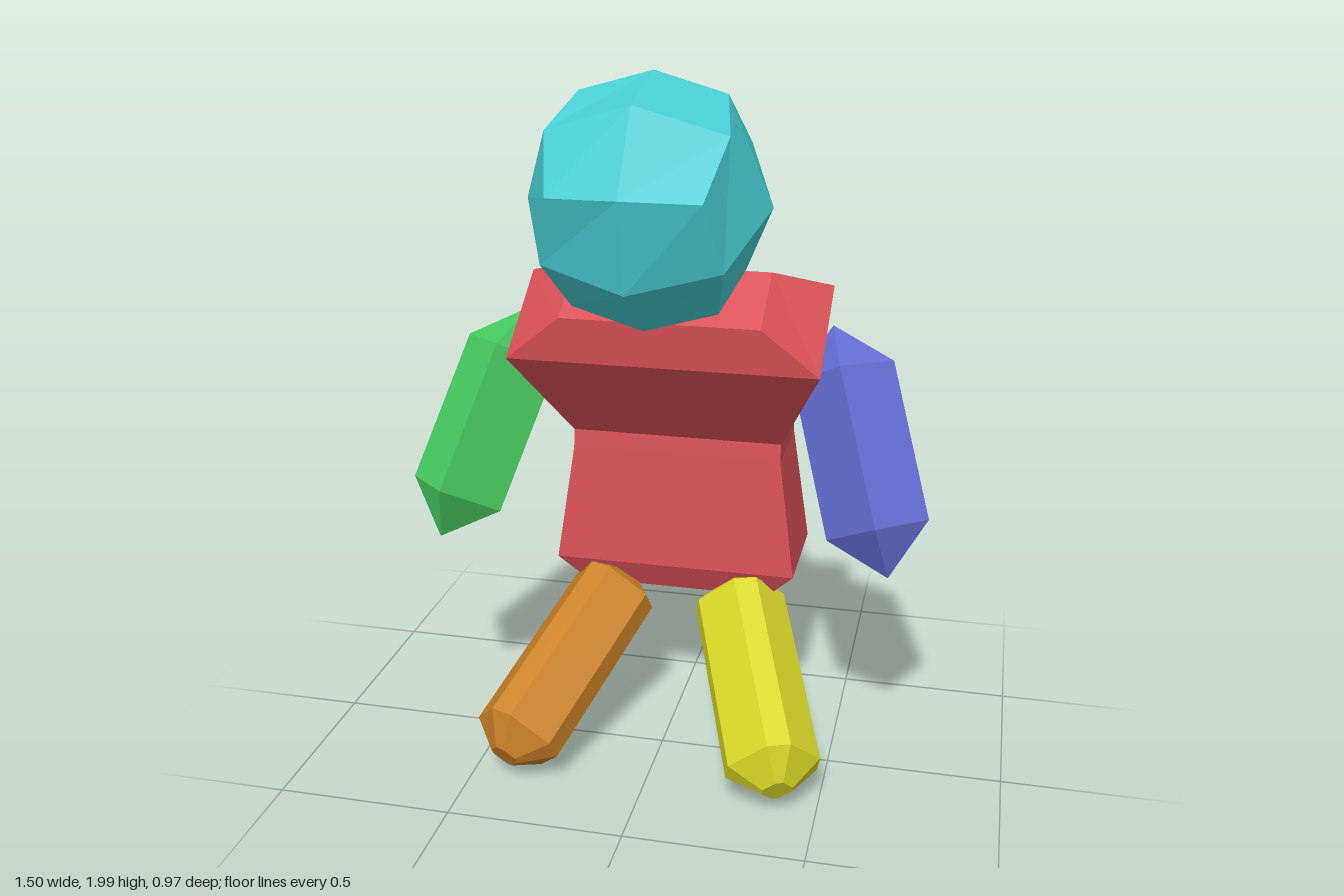
import * as THREE from 'three';

const V = (x, y, z) => new THREE.Vector3(x, y, z);

function part(name, geometry, color) {
  const material = new THREE.MeshStandardMaterial({ color, flatShading: true });
  const mesh = new THREE.Mesh(geometry, material);
  mesh.name = name;
  return mesh;
}

// Skin a list of rings (each counter-clockwise about the direction of travel) and close both ends
function loft(rings) {
  const pos = [];
  const tri = (a, b, c) => {
    const area = b.clone().sub(a).cross(c.clone().sub(a)).length();
    if (area > 1e-7) for (const p of [a, b, c]) pos.push(p.x, p.y, p.z);
  };
  const n = rings[0].length;
  for (let r = 0; r + 1 < rings.length; r++) {
    const a = rings[r], b = rings[r + 1];
    for (let i = 0; i < n; i++) {
      const j = (i + 1) % n;
      tri(a[i], a[j], b[j]);
      tri(a[i], b[j], b[i]);
    }
  }
  const first = rings[0], last = rings[rings.length - 1];
  for (let i = 1; i + 1 < n; i++) {
    tri(first[0], first[i + 1], first[i]);
    tri(last[0], last[i], last[i + 1]);
  }
  const g = new THREE.BufferGeometry();
  g.setAttribute('position', new THREE.Float32BufferAttribute(pos, 3));
  g.computeVertexNormals();
  return g;
}

// Straight limb from tip to tip; ref points at angle 0, profile holds [fraction of length, radius]
function limb(from, to, ref, angles, profile) {
  const d = to.clone().sub(from).normalize();
  const u = ref.clone().addScaledVector(d, -ref.dot(d)).normalize();
  const w = d.clone().cross(u);
  return loft(profile.map(([t, r]) => angles.map((a) =>
    from.clone().lerp(to, t)
      .addScaledVector(u, r * Math.cos(a))
      .addScaledVector(w, r * Math.sin(a)))));
}

export function createModel() {
  const model = new THREE.Group();
  model.name = 'figure';

  // Head: subdivided cube pushed out to a faceted ball, tipped forward
  const headGeo = new THREE.BoxGeometry(2, 2, 2, 2, 2, 2);
  const p = headGeo.attributes.position;
  const radii = [0, 0.322, 0.33, 0.337]; // face centre, edge middle, corner
  for (let i = 0; i < p.count; i++) {
    const v = V(0, 0, 0).fromBufferAttribute(p, i);
    const kind = v.toArray().filter((c) => Math.abs(c) > 0.5).length;
    v.setLength(radii[kind]);
    p.setXYZ(i, v.x, v.y, v.z);
  }
  headGeo.computeVertexNormals();
  const head = part('head', headGeo, 0x48cdd3);
  head.position.set(0, 1.675, 0.16);
  head.rotation.x = 0.597;
  model.add(head);

  // Torso: hunched stack of four-cornered rings [half width, front z, front y, back z, back y]
  const torsoRings = [
    [0.28, -0.19, 0.43, -0.425, 0.43],
    [0.36, -0.15, 0.515, -0.485, 0.515],
    [0.31, -0.175, 0.865, -0.455, 0.87],
    [0.31, -0.18, 0.92, -0.412, 1.08],
    [0.44, 0.04, 1.195, -0.237, 1.385],
    [0.28, 0.055, 1.325, -0.125, 1.44],
  ].map(([x, zf, yf, zb, yb]) => [V(x, yf, zf), V(x, yb, zb), V(-x, yb, zb), V(-x, yf, zf)]);
  model.add(part('torso', loft(torsoRings), 0xd85056));

  // Section angles: square arms, legs square with narrow chamfers
  const square = [0, 1, 2, 3].map((k) => k * Math.PI / 2);
  const chamfered = [0, 1, 2, 3].flatMap((k) => [k * Math.PI / 2 - 0.25, k * Math.PI / 2 + 0.25]);

  for (const s of [1, -1]) {
    const side = s > 0 ? 'left' : 'right';

    // Arm: four-sided prism with pointed ends
    const arm = limb(
      V(s * 0.445, 1.28, -0.2), V(s * 0.65, 0.647, 0.07), V(s * 0.135, 0.04, -0.02),
      square, [[0, 0], [0.187, 0.143], [0.813, 0.143], [1, 0]]);
    model.add(part(side + 'Arm', arm, s > 0 ? 0x6670d8 : 0x48cc62));

    // Leg: chamfered bar with tapered blunt ends
    const leg = limb(
      V(s * 0.175, 0.43, -0.25), V(s * 0.395, 0.085, 0.31), V(0, 1, 0),
      chamfered, [[0, 0.045], [0.1, 0.135], [0.9, 0.135], [1, 0.045]]);
    model.add(part(side + 'Leg', leg, s > 0 ? 0xd8d626 : 0xcc8228));
  }
  return model;
}
